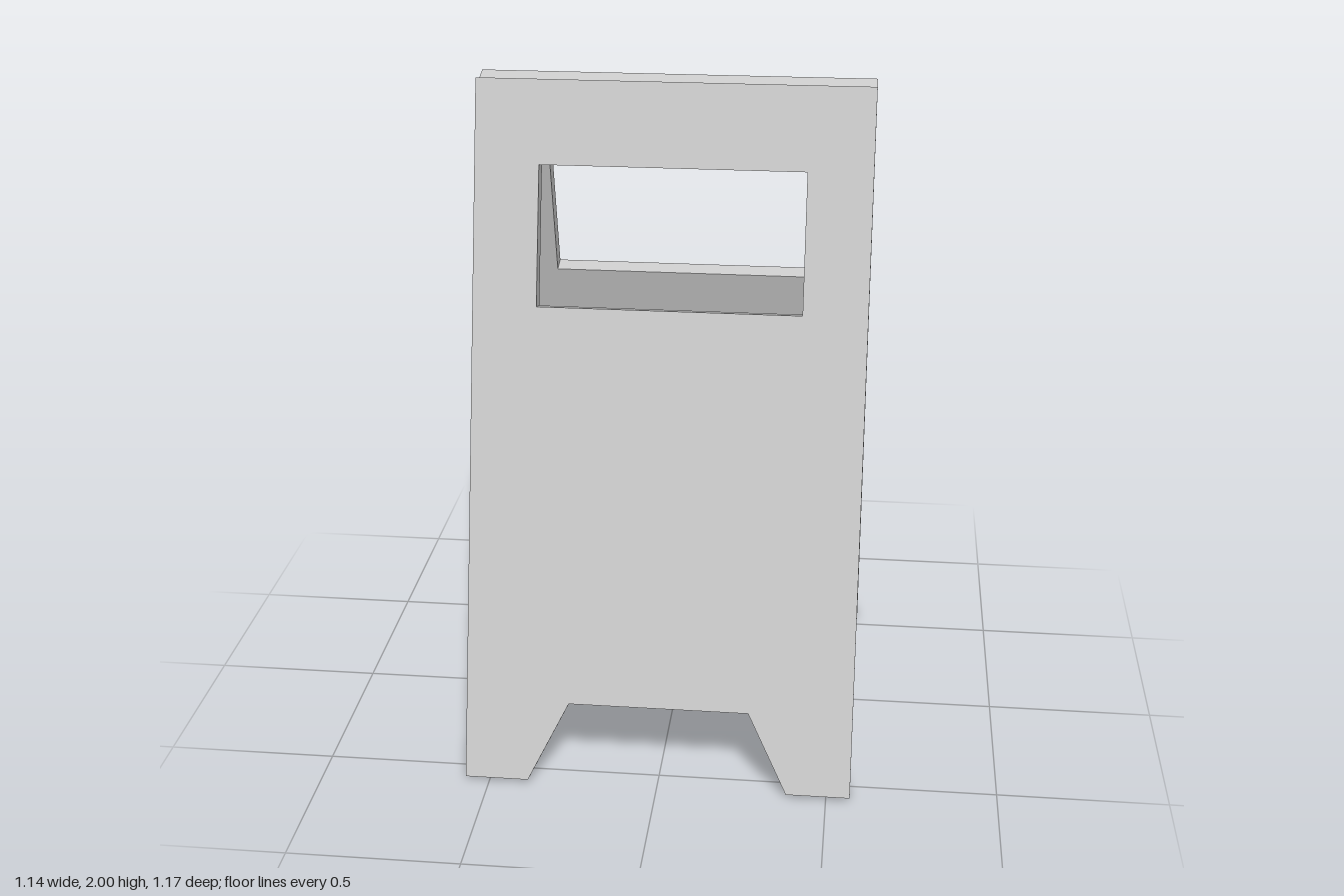
import * as THREE from 'three';

const HALF_WIDTH = 0.57, LENGTH = 2.056, THICKNESS = 0.052, TILT = 0.263;
const HINGE_Y = LENGTH * Math.cos(TILT);

// Closed path from [x, distance above the foot] points; the hinge edge is y = 0
const toPoints = (pts) => pts.map(([x, s]) => new THREE.Vector2(x, s - LENGTH));

// Flat board with a handle window and a notch that leaves two feet
function boardGeometry() {
  const shape = new THREE.Shape(toPoints([
    [-HALF_WIDTH, 0], [-0.383, 0], [-0.265, 0.238], [0.265, 0.238],
    [0.383, 0], [HALF_WIDTH, 0], [HALF_WIDTH, LENGTH], [-HALF_WIDTH, LENGTH],
  ]));
  shape.holes.push(new THREE.Path(toPoints([
    [-0.383, 1.408], [-0.383, 1.814], [0.383, 1.814], [0.383, 1.408],
  ])));
  return new THREE.ExtrudeGeometry(shape, { depth: THICKNESS, bevelEnabled: false });
}

export function createModel() {
  const model = new THREE.Group();
  model.name = 'foldingFloorSign';
  const material = new THREE.MeshStandardMaterial({ color: 0xcccccc, flatShading: true });
  const geometry = boardGeometry();

  // Two identical boards lean against each other along the top edge
  for (const [name, turn] of [['frontPanel', 0], ['backPanel', Math.PI]]) {
    const panel = new THREE.Mesh(geometry, material);
    panel.name = name;
    panel.rotation.order = 'YXZ';
    panel.rotation.set(-TILT, turn, 0);
    panel.position.y = HINGE_Y;
    model.add(panel);
  }
  return model;
}
